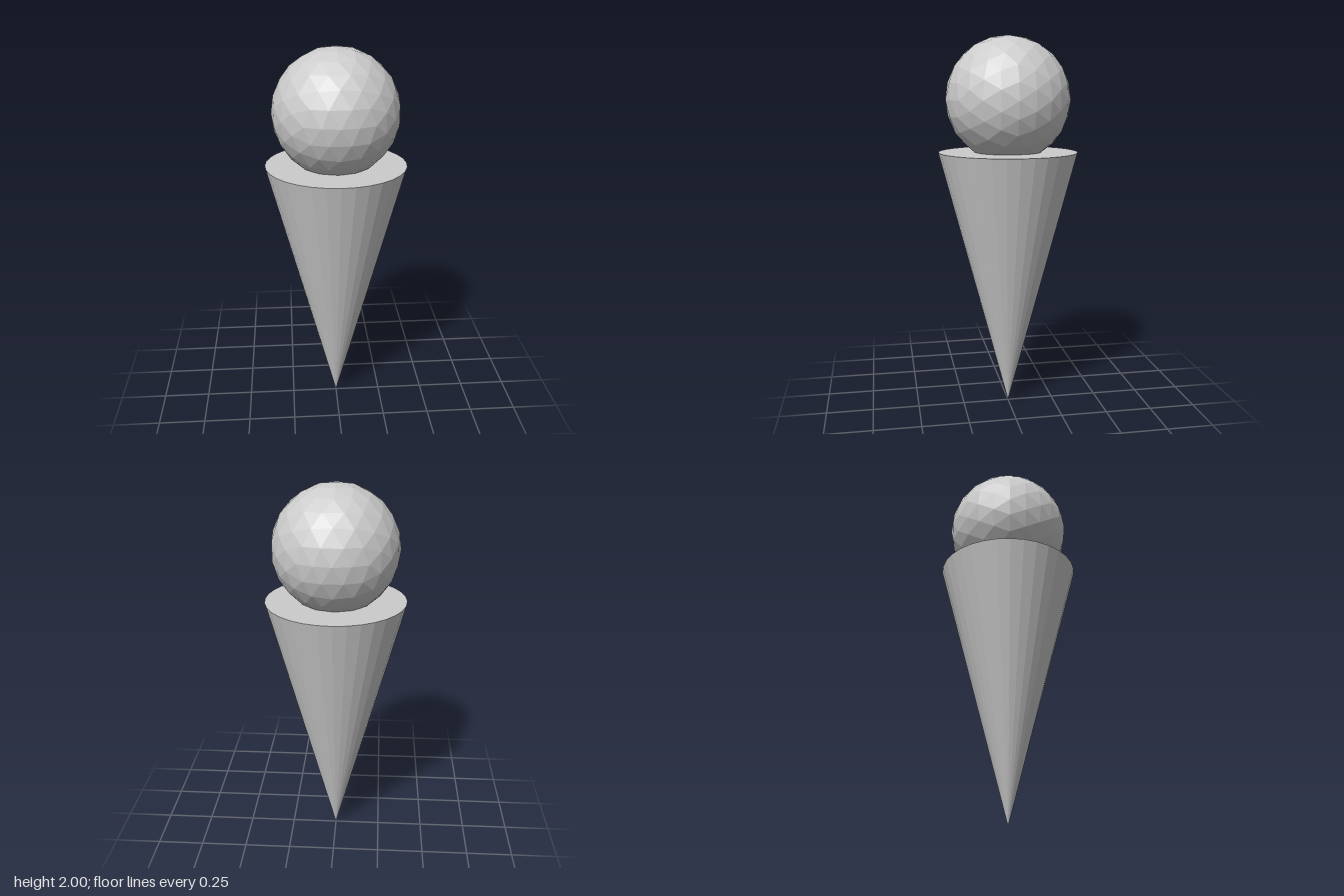
import * as THREE from 'three';

const material = new THREE.MeshStandardMaterial({ color: 0xcccccc, flatShading: true });

// Faceted mesh: unshared corners with one normal per face
function facetedMesh(geometry, name, y) {
  const flat = geometry.index ? geometry.toNonIndexed() : geometry;
  flat.computeVertexNormals();
  const mesh = new THREE.Mesh(flat, material);
  mesh.name = name;
  mesh.position.y = y;
  return mesh;
}

// Icosphere halved edge by edge, so each step splits the arcs evenly
function icosphere(radius, steps) {
  let geometry = new THREE.IcosahedronGeometry(radius, 0);
  for (let i = 0; i < steps; i++) {
    const corners = Array.from(geometry.attributes.position.array);
    const order = Array.from({ length: corners.length / 3 }, (_, k) => k);
    geometry = new THREE.PolyhedronGeometry(corners, order, radius, 1);
  }
  return geometry;
}

export function createModel() {
  const model = new THREE.Group();
  model.name = 'iceCreamCone';

  // Closed cone standing on its tip
  const coneHeight = 1.4;
  const cone = new THREE.ConeGeometry(0.368, coneHeight, 32).rotateX(Math.PI);
  model.add(facetedMesh(cone, 'cone', coneHeight / 2));

  // Scoop sunk slightly into the flat top, its uppermost edge running along z
  const scoopRadius = 0.327;
  const scoop = icosphere(scoopRadius, 2).rotateY(Math.PI / 2);
  model.add(facetedMesh(scoop, 'scoop', 2 - scoopRadius));

  return model;
}
